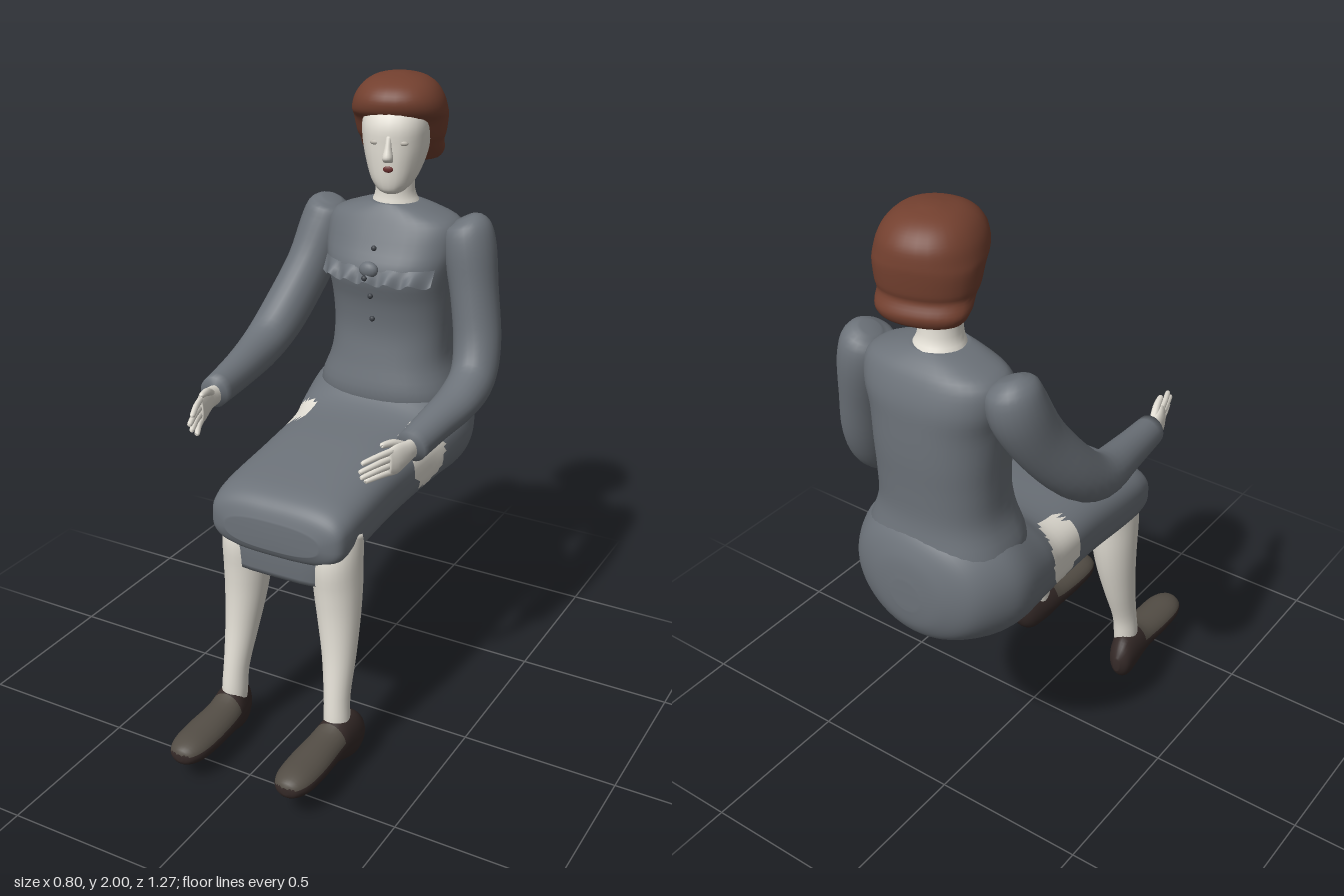
import * as THREE from 'three';

const mat = (name, color) => {
  const m = new THREE.MeshStandardMaterial({ color });
  m.name = name;
  return m;
};

// Smooth interpolation through rows of numbers
function smoothRows(rows, steps) {
  const out = [];
  const at = i => rows[Math.min(rows.length - 1, Math.max(0, i))];
  for (let i = 0; i < rows.length - 1; i++) {
    for (let s = 0; s < steps; s++) {
      const t = s / steps;
      out.push(rows[i].map((p1, k) => {
        const p0 = at(i - 1)[k], p2 = at(i + 1)[k], p3 = at(i + 2)[k];
        return 0.5 * (2 * p1 + (p2 - p0) * t + (2 * p0 - 5 * p1 + 4 * p2 - p3) * t * t
          + (3 * p1 - p0 - 3 * p2 + p3) * t * t * t);
      }));
    }
  }
  out.push(rows[rows.length - 1]);
  return out;
}

// Closed body through cross-sections [x, y, z, half width, half depth, power].
// axis fixes the section planes; without it they follow the path.
// pick(centre, normal) gives the material index of each face.
function loft(name, materials, rows, { axis, steps = 4, sides = 24, pick } = {}) {
  const st = smoothRows(rows.map(r => (r.length < 6 ? [...r, 2] : r)), steps);
  const pts = st.map(r => new THREE.Vector3(r[0], r[1], r[2]));
  const verts = [];
  st.forEach((r, i) => {
    const t = axis ? axis.clone()
      : pts[Math.min(i + 1, pts.length - 1)].clone().sub(pts[Math.max(i - 1, 0)]).normalize();
    const a = new THREE.Vector3(1, 0, 0).addScaledVector(t, -t.x).normalize();
    const b = t.clone().cross(a);
    for (let j = 0; j < sides; j++) {
      const th = (j / sides) * Math.PI * 2, c = Math.cos(th), s = Math.sin(th), e = 2 / r[5];
      verts.push(pts[i].clone()
        .addScaledVector(a, Math.sign(c) * Math.abs(c) ** e * Math.max(r[3], 0.001))
        .addScaledVector(b, Math.sign(s) * Math.abs(s) ** e * Math.max(r[4], 0.001)));
    }
  });
  const n = st.length, faces = [];
  for (let i = 0; i < n - 1; i++) {
    for (let j = 0; j < sides; j++) {
      const k = (j + 1) % sides, p = i * sides, q = p + sides;
      faces.push([p + j, p + k, q + k], [p + j, q + k, q + j]);
    }
  }
  verts.push(pts[0], pts[n - 1]);
  for (let j = 0; j < sides; j++) {
    const k = (j + 1) % sides, q = (n - 1) * sides;
    faces.push([n * sides, k, j], [n * sides + 1, q + j, q + k]);
  }
  const list = [].concat(materials), sets = list.map(() => []);
  faces.forEach(f => {
    const [a, b, c] = f.map(v => verts[v]);
    const normal = b.clone().sub(a).cross(c.clone().sub(a)).normalize();
    const centre = a.clone().add(b).add(c).divideScalar(3);
    sets[pick ? pick(centre, normal) : 0].push(...f);
  });
  const g = new THREE.BufferGeometry().setFromPoints(verts);
  g.setIndex(sets.flat());
  let start = 0;
  sets.forEach((s, i) => { g.addGroup(start, s.length, i); start += s.length; });
  g.computeVertexNormals();
  const mesh = new THREE.Mesh(g, list.length > 1 ? list : list[0]);
  mesh.name = name;
  return mesh;
}

function ball(name, m, p, r) {
  const mesh = new THREE.Mesh(new THREE.SphereGeometry(1, 16, 12), m);
  mesh.position.set(...p);
  mesh.scale.set(...r);
  mesh.name = name;
  return mesh;
}

export function createModel() {
  const dress = mat('dress grey', 0x6c7279), skin = mat('skin', 0xe3dfd5);
  const hair = mat('hair', 0x73402f), shoe = mat('shoe leather', 0x352a28);
  const upper = mat('shoe top', 0x544e46), lip = mat('lips', 0x6a2f2e);
  const button = mat('button', 0x3c4046), eye = mat('eye', 0xbdb8ae);
  const ruffleMat = mat('ruffle grey', 0x6c7279);
  ruffleMat.side = THREE.DoubleSide;
  const Y = new THREE.Vector3(0, 1, 0), Z = new THREE.Vector3(0, 0, 1);
  const model = new THREE.Group();
  model.name = 'seatedWoman';

  // Bodice: [y, half width, front z, back z]
  const bodice = [
    [0.92, 0.23, -0.27, -0.61], [1.0, 0.235, -0.25, -0.605], [1.1, 0.2, -0.27, -0.585],
    [1.2, 0.195, -0.285, -0.585], [1.3, 0.2, -0.275, -0.59], [1.4, 0.21, -0.25, -0.59],
    [1.48, 0.225, -0.285, -0.585], [1.55, 0.215, -0.32, -0.56], [1.585, 0.14, -0.34, -0.53],
    [1.605, 0.07, -0.355, -0.5]];
  model.add(loft('bodice', dress,
    bodice.map(([y, w, f, b]) => [0, y, (f + b) / 2, w, (f - b) / 2, 2.4]), { axis: Y, sides: 36 }));

  // Skirt over hips and lap: [z, half width, bottom y, top y, power]; bare patch on each thigh
  const skirt = [
    [-0.632, 0.05, 0.82, 0.92, 2], [-0.62, 0.13, 0.755, 1.0, 2], [-0.58, 0.215, 0.7, 1.07, 2],
    [-0.5, 0.27, 0.667, 1.1, 2.1], [-0.42, 0.29, 0.665, 1.09, 2.2], [-0.3, 0.275, 0.685, 1.02, 2.4],
    [-0.2, 0.255, 0.695, 0.96, 2.8], [0, 0.24, 0.685, 0.935, 3], [0.2, 0.238, 0.675, 0.905, 3.2],
    [0.29, 0.232, 0.675, 0.885, 3.2], [0.335, 0.215, 0.69, 0.855, 3], [0.355, 0.16, 0.72, 0.81, 2.6]];
  model.add(loft('skirt', [dress, skin],
    skirt.map(([z, w, b, t, p]) => [0, (b + t) / 2, z, w, (t - b) / 2, p]), {
      axis: Z, sides: 64, steps: 6,
      pick: c => (Math.abs(c.x) > 0.165
        && ((c.z + 0.19) / 0.085) ** 2 + ((c.y - 0.86) / 0.1) ** 2 < 1 ? 1 : 0) }));
  model.add(loft('skirtHem', dress, [
    [0, 0.62, 0.27, 0.165, 0.065, 4], [0, 0.7, 0.27, 0.185, 0.07, 4], [0, 0.8, 0.26, 0.2, 0.075, 4]], { axis: Y }));

  // Ruffle across the bust, with a brooch and buttons
  const strip = new THREE.PlaneGeometry(0.38, 0.05, 60, 4), pos = strip.attributes.position;
  for (let i = 0; i < pos.count; i++) {
    const x = pos.getX(i), v = 0.5 - pos.getY(i) / 0.05, wave = Math.cos(x * 90);
    const surface = -0.42 + 0.163 * Math.pow(1 - Math.pow(Math.abs(x) / 0.215, 2.4), 1 / 2.4);
    pos.setXYZ(i, x, 1.425 - 0.045 * v + 0.01 * v * wave, surface + v * (0.03 + 0.012 * wave));
  }
  strip.computeVertexNormals();
  const ruffle = new THREE.Mesh(strip, ruffleMat);
  ruffle.name = 'ruffle';
  model.add(ruffle, ball('brooch', dress, [0, 1.42, -0.25], [0.032, 0.026, 0.02]));
  [[1.48, -0.283], [1.4, -0.22], [1.33, -0.262], [1.25, -0.278]].forEach(([y, z]) =>
    model.add(ball('button', button, [0, y, z], [0.009, 0.009, 0.008])));

  // Sleeves
  model.add(loft('rightSleeve', dress, [
    [-0.235, 1.575, -0.44, 0.03, 0.03], [-0.243, 1.55, -0.44, 0.07, 0.075], [-0.255, 1.48, -0.43, 0.082, 0.09],
    [-0.28, 1.36, -0.37, 0.075, 0.085], [-0.315, 1.22, -0.26, 0.075, 0.08], [-0.33, 1.145, -0.15, 0.068, 0.07],
    [-0.312, 1.12, 0.02, 0.055, 0.058], [-0.295, 1.108, 0.19, 0.045, 0.05]]));
  model.add(loft('leftSleeve', dress, [
    [0.235, 1.575, -0.44, 0.03, 0.03], [0.245, 1.55, -0.44, 0.07, 0.075], [0.258, 1.48, -0.435, 0.082, 0.09],
    [0.285, 1.35, -0.42, 0.075, 0.085], [0.315, 1.2, -0.39, 0.075, 0.08], [0.33, 1.1, -0.33, 0.072, 0.075],
    [0.33, 1.055, -0.22, 0.068, 0.062], [0.312, 1.025, -0.1, 0.058, 0.056], [0.295, 0.995, 0.03, 0.05, 0.052]]));

  // Hands, palms facing inward; s is the side of the body
  const hand = (name, s, x, y, z) => {
    const g = new THREE.Group();
    g.name = name;
    g.position.set(x, y, z);
    g.add(loft('palm', skin, [[0, 0, -0.02, 0.022, 0.03], [0, 0, 0.03, 0.02, 0.036],
      [-s * 0.01, -0.005, 0.08, 0.018, 0.048], [-s * 0.022, -0.008, 0.115, 0.012, 0.042]], { axis: Z, sides: 16 }));
    for (let i = 0; i < 4; i++) {
      const fy = 0.026 - i * 0.022, len = [0.1, 0.115, 0.105, 0.08][i];
      g.add(loft('finger', skin, [[-s * 0.015, fy, 0.095, 0.009, 0.011],
        [-s * 0.034, fy, 0.1 + len * 0.5, 0.009, 0.01], [-s * 0.055, fy - 0.005, 0.1 + len, 0.008, 0.008],
        [-s * 0.057, fy - 0.006, 0.106 + len, 0.003, 0.003]], { sides: 10 }));
    }
    g.add(loft('thumb', skin, [[-s * 0.005, 0.02, 0.03, 0.013, 0.012], [-s * 0.022, 0.042, 0.075, 0.012, 0.012],
      [-s * 0.035, 0.05, 0.12, 0.009, 0.009], [-s * 0.036, 0.05, 0.126, 0.003, 0.003]], { sides: 10 }));
    model.add(g);
  };
  hand('rightHand', -1, -0.292, 1.1, 0.19);
  hand('leftHand', 1, 0.295, 0.988, 0.025);

  // Lower legs and shoes: knee x, ankle x, sole lift
  [['right', -1, -0.145, -0.165, -0.005], ['left', 1, 0.168, 0.207, 0.012]].forEach(([side, s, kx, ax, lift]) => {
    const mid = t => kx + (ax - kx) * t;
    model.add(loft(side + 'Leg', skin, [
      [kx, 0.78, 0.23, 0.07, 0.08], [kx, 0.7, 0.25, 0.075, 0.09], [mid(0.1), 0.6, 0.252, 0.073, 0.083],
      [mid(0.3), 0.5, 0.26, 0.065, 0.072], [mid(0.6), 0.38, 0.28, 0.052, 0.058],
      [mid(0.85), 0.25, 0.31, 0.04, 0.045], [ax, 0.16, 0.32, 0.04, 0.045], [ax, 0.1, 0.32, 0.035, 0.04]]));
    const y = 0.1 + lift;
    model.add(loft(side + 'Shoe', [shoe, upper], [
      [ax + s * 0.025, y - 0.01, 0.222, 0.012, 0.025], [ax + s * 0.022, y - 0.01, 0.245, 0.036, 0.06],
      [ax + s * 0.015, y - 0.008, 0.28, 0.048, 0.085], [ax + s * 0.005, y, 0.34, 0.056, 0.08],
      [ax, y, 0.4, 0.06, 0.056], [ax, y, 0.5, 0.065, 0.048], [ax, y, 0.58, 0.06, 0.043],
      [ax, y, 0.625, 0.04, 0.03], [ax, y, 0.638, 0.012, 0.012]], {
      axis: Z, pick: (c, n) => (c.z > 0.37 && n.y > 0.25 ? 1 : 0) }));
  });

  // Neck
  model.add(loft('neck', skin, [[0, 1.54, -0.44, 0.095, 0.085], [0, 1.595, -0.432, 0.078, 0.075],
    [0, 1.64, -0.425, 0.062, 0.062], [0, 1.74, -0.42, 0.062, 0.062]], { axis: Y }));

  // Head, turned a little to its left: rows are [y, half width, front z, back z]
  const head = new THREE.Group();
  head.name = 'head';
  head.position.set(0.005, 0, -0.43);
  head.rotation.y = 0.26;
  const rows = list => list.map(([y, w, f, b]) => [0, y, (f + b) / 2, w, (f - b) / 2, 2.2]);
  head.add(loft('face', skin, rows([
    [1.648, 0.025, 0.115, 0.04], [1.66, 0.045, 0.135, 0.01], [1.69, 0.07, 0.145, -0.04],
    [1.74, 0.09, 0.15, -0.09], [1.8, 0.103, 0.152, -0.11], [1.86, 0.105, 0.15, -0.11],
    [1.91, 0.09, 0.12, -0.09], [1.94, 0.04, 0.06, -0.03]]), { axis: Y }));
  head.add(loft('hair', hair, rows([
    [1.715, 0.07, -0.06, -0.14], [1.722, 0.11, -0.04, -0.155], [1.75, 0.13, -0.01, -0.165],
    [1.785, 0.132, 0.03, -0.15], [1.81, 0.14, 0.055, -0.155], [1.86, 0.147, 0.085, -0.16],
    [1.89, 0.147, 0.13, -0.16], [1.93, 0.136, 0.142, -0.152], [1.965, 0.112, 0.12, -0.125],
    [1.988, 0.075, 0.075, -0.085], [2.0, 0.02, 0.01, -0.03]]), { axis: Y, sides: 30 }));
  head.add(loft('nose', skin, [[0, 1.755, 0.15, 0.014, 0.01], [0, 1.77, 0.158, 0.017, 0.02],
    [0, 1.8, 0.152, 0.011, 0.015], [0, 1.835, 0.145, 0.008, 0.008]], { axis: Y, sides: 12 }));
  head.add(ball('mouth', lip, [0, 1.733, 0.149], [0.016, 0.01, 0.005]));
  [-1, 1].forEach(s => head.add(ball('eye', eye, [s * 0.042, 1.812, 0.138], [0.017, 0.008, 0.008])));
  model.add(head);
  return model;
}
